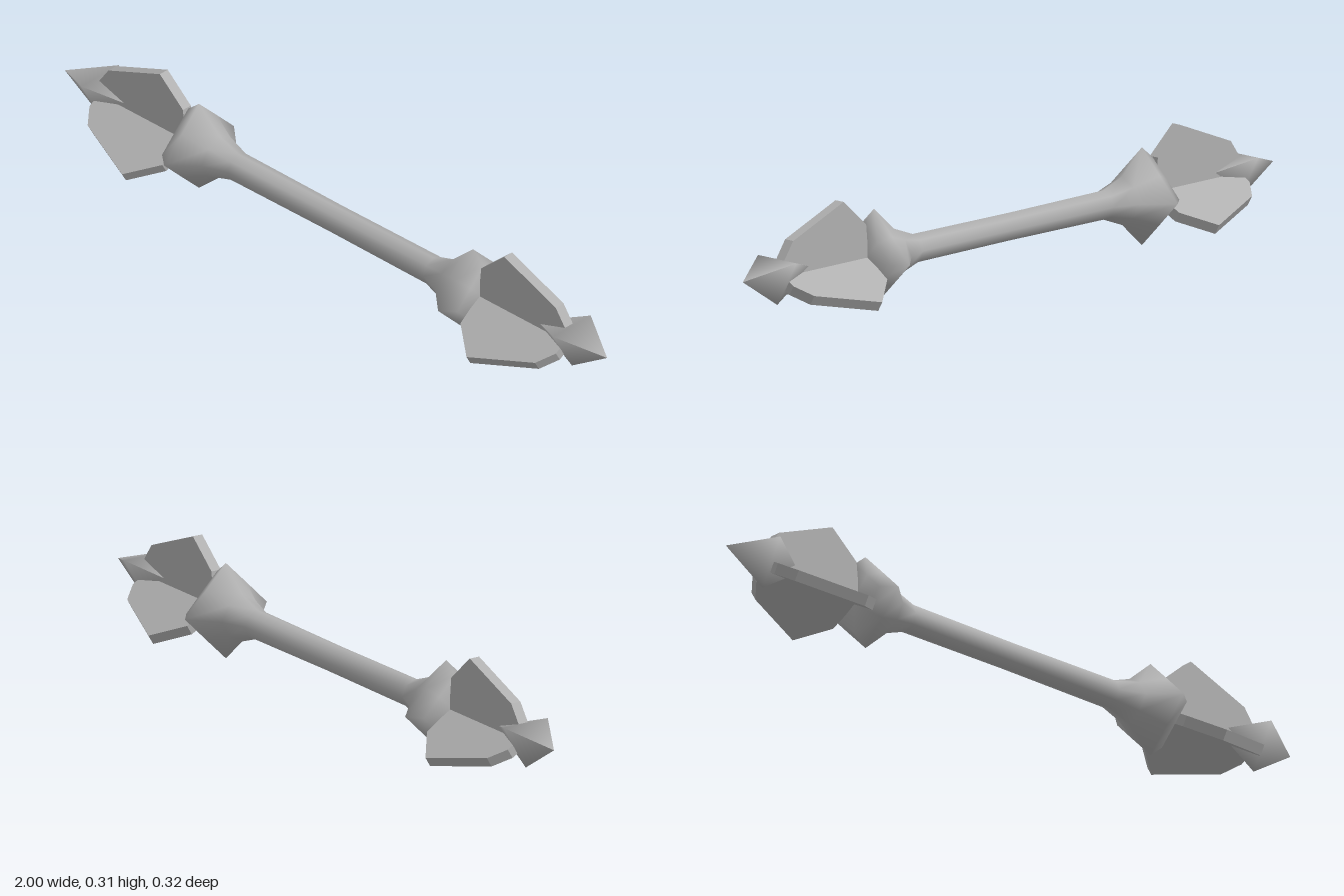
import * as THREE from 'three';

const AXIS_Y = 0.134;

// Skin a list of rings [x, radius, oddRadiusFactor] along the x axis
function loft(rings, sides, startAngle = 0) {
  const pos = [], index = [];
  for (const [x, r, odd = 1] of rings) {
    for (let i = 0; i < sides; i++) {
      const a = startAngle + (i / sides) * Math.PI * 2;
      const rad = i % 2 ? r * odd : r;
      pos.push(x, rad * Math.cos(a), rad * Math.sin(a));
    }
  }
  for (let s = 0; s < rings.length - 1; s++) {
    for (let i = 0; i < sides; i++) {
      const a = s * sides + i, b = s * sides + (i + 1) % sides;
      index.push(a, b, a + sides, b, b + sides, a + sides);
    }
  }
  const g = new THREE.BufferGeometry();
  g.setAttribute('position', new THREE.Float32BufferAttribute(pos, 3));
  g.setIndex(index);
  g.computeVertexNormals();
  return g;
}

export function createModel() {
  const model = new THREE.Group();
  model.name = 'doubleEndedMace';
  const steel = new THREE.MeshStandardMaterial({ color: 0xb0b0b0 });
  steel.name = 'steel';

  const add = (parent, name, geometry) => {
    const mesh = new THREE.Mesh(geometry, steel);
    mesh.name = name;
    parent.add(mesh);
    return mesh;
  };

  // Round grip flaring into a diamond-shaped collar at both ends
  const half = [
    [0, 0.038, 1], [0.36, 0.04, 1], [0.43, 0.066, 0.9],
    [0.505, 0.133, 0.71], [0.545, 0.1, 0.71], [0.545, 0, 1],
  ];
  const mirrored = half.slice(1).reverse().map(([x, r, k]) => [-x, r, k]);
  add(model, 'shaftWithCollars', loft([...mirrored, ...half], 8)).position.y = AXIS_Y;

  // Blade outline: x along the shaft, y outward from the axis
  const outline = [
    [0.54, 0], [0.55, 0.1], [0.635, 0.175], [0.825, 0.1], [0.86, 0.05], [0.86, 0],
  ].map(([x, y]) => new THREE.Vector2(x, y));
  const blade = new THREE.ExtrudeGeometry(new THREE.Shape(outline), { depth: 0.03, bevelEnabled: false });
  blade.translate(0, 0, -0.015);

  // Three-sided spike, pointed at both ends
  const spike = loft([[0.74, 0], [0.87, 0.083], [1, 0]], 3, Math.PI);

  for (const [name, turn] of [['leftHead', 0], ['rightHead', Math.PI]]) {
    const head = new THREE.Group();
    head.name = name;
    head.position.y = AXIS_Y;
    head.rotation.y = turn;
    for (let i = 0; i < 3; i++) {
      add(head, 'blade' + (i + 1), blade).rotation.x = (i * Math.PI * 2) / 3;
    }
    add(head, 'spike', spike).position.y = 0.014;
    model.add(head);
  }
  return model;
}
